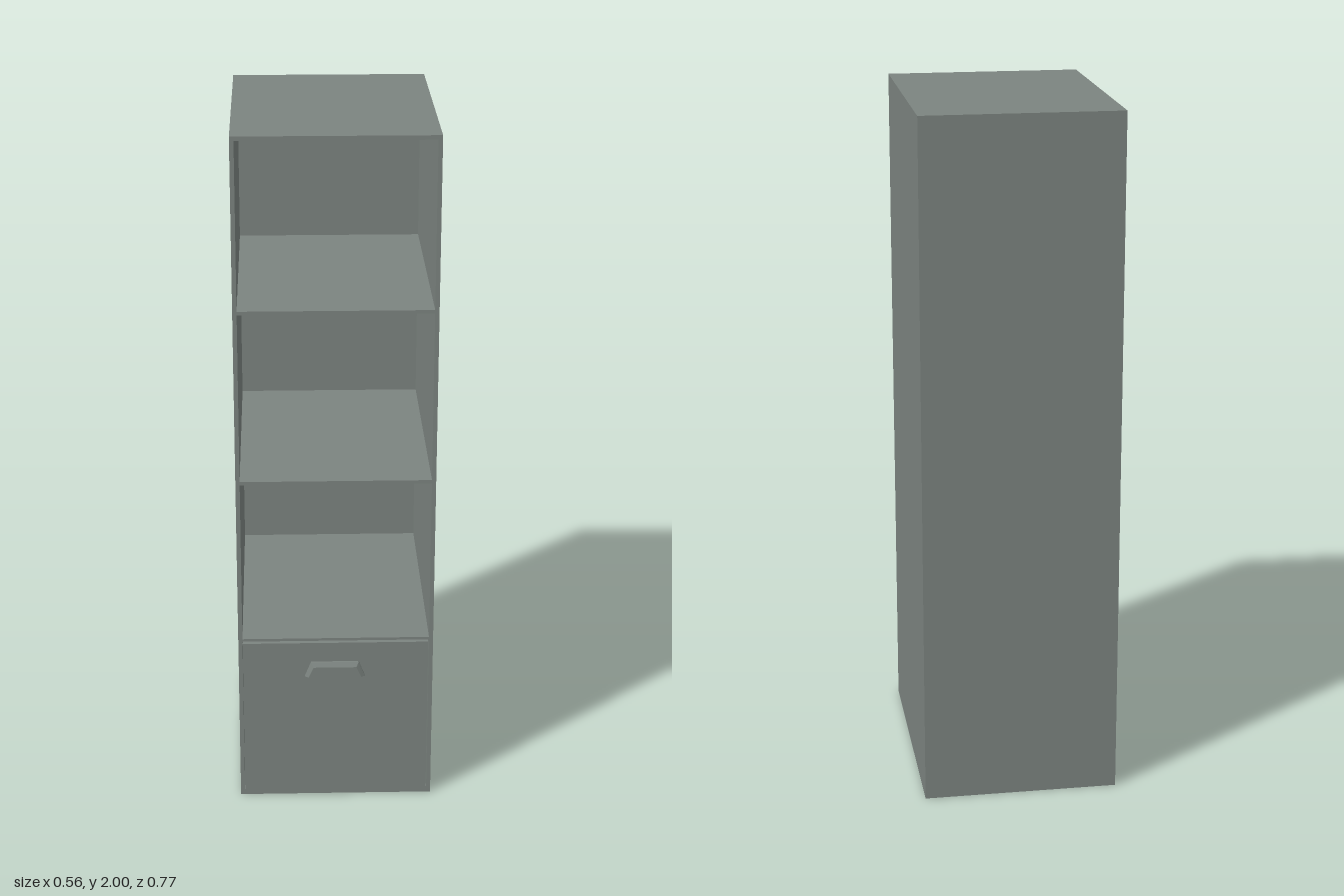
import * as THREE from 'three';
import { ConvexGeometry } from 'three/addons/geometries/ConvexGeometry.js';

export function createModel() {
  const model = new THREE.Group();
  model.name = 'shelfCabinet';
  const paint = new THREE.MeshStandardMaterial({ color: 0x7c8480 });
  paint.name = 'greyGreenPaint';

  // Box given by its minimum and maximum corners
  function panel(name, x0, x1, y0, y1, z0, z1, parent = model) {
    const mesh = new THREE.Mesh(new THREE.BoxGeometry(x1 - x0, y1 - y0, z1 - z0), paint);
    mesh.position.set((x0 + x1) / 2, (y0 + y1) / 2, (z0 + z1) / 2);
    mesh.name = name;
    parent.add(mesh);
    return mesh;
  }

  const halfWidth = 0.282, wall = 0.012, inner = halfWidth - wall;
  const back = -0.387, front = 0.357, innerBack = -0.362;

  // Carcass
  panel('rightSide', -halfWidth, -inner, 0, 2, back, front);
  panel('leftSide', inner, halfWidth, 0, 2, back, front);
  panel('topPanel', -inner, inner, 1.988, 2, back, front);
  panel('bottomPanel', -inner, inner, 0, 0.018, back, front);
  panel('backPanel', -inner, inner, 0.018, 1.988, back, innerBack);

  // Shelves
  for (const y of [0.508, 1.002, 1.505]) {
    panel('shelf', -inner, inner, y, y + 0.01, innerBack, front);
  }

  // Drawer front
  const drawer = new THREE.Group();
  drawer.name = 'drawer';
  model.add(drawer);
  panel('drawerFront', -0.269, 0.267, 0.02, 0.51, 0.345, 0.371, drawer);

  // Cup handle: trapezoid sections narrowing towards the front
  const sections = [
    { z: 0.37, low: 0.087, high: 0.069, top: 0.45 },
    { z: 0.377, low: 0.087, high: 0.069, top: 0.45 },
    { z: 0.385, low: 0.076, high: 0.062, top: 0.437 },
  ];
  const points = [];
  for (const { z, low, high, top } of sections) {
    for (const side of [-1, 1]) {
      points.push(new THREE.Vector3(side * low, 0.405, z), new THREE.Vector3(side * high, top, z));
    }
  }
  const handle = new THREE.Mesh(new ConvexGeometry(points), paint);
  handle.position.x = -0.003;
  handle.name = 'drawerHandle';
  drawer.add(handle);

  return model;
}
